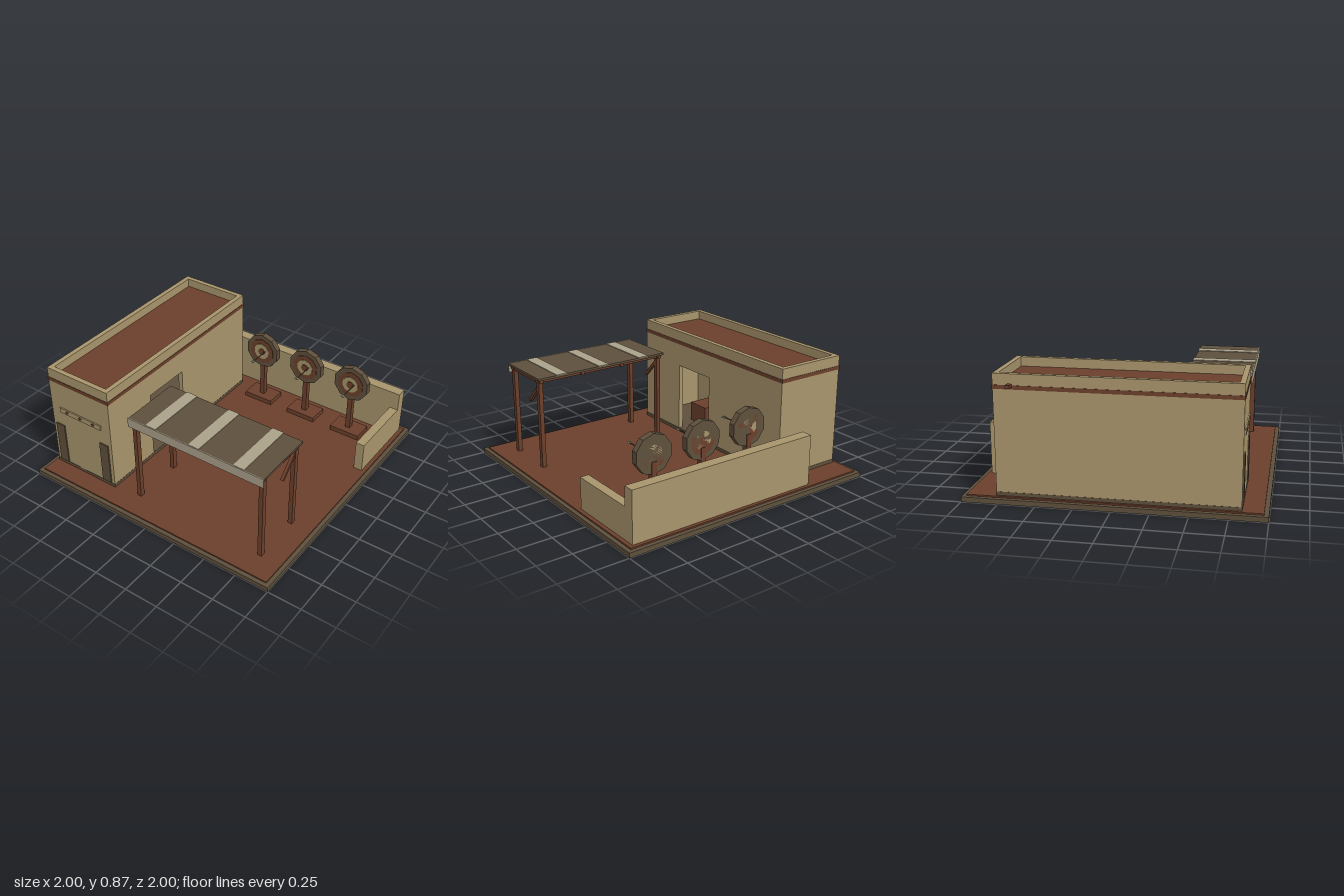
import * as THREE from 'three';

const mat = (name, color) => {
  const m = new THREE.MeshStandardMaterial({ color });
  m.name = name;
  return m;
};

export function createModel() {
  const sand = mat('sandstone', 0xa8956c);
  const rust = mat('rustClay', 0x6b3f2b);
  const dark = mat('darkWood', 0x5e4f3c);
  const pale = mat('paleCloth', 0xaba18a);

  const root = new THREE.Group();
  root.name = 'trainingYard';
  const group = (name, parent = root) => {
    const g = new THREE.Group();
    g.name = name;
    parent.add(g);
    return g;
  };
  const add = (parent, name, geo, m) => {
    const mesh = new THREE.Mesh(geo, m);
    mesh.name = name;
    parent.add(mesh);
    return mesh;
  };
  // Box given by its lower and upper limits on each axis
  const box = (parent, name, m, x0, x1, y0, y1, z0, z1) => {
    const mesh = add(parent, name, new THREE.BoxGeometry(x1 - x0, y1 - y0, z1 - z0), m);
    mesh.position.set((x0 + x1) / 2, (y0 + y1) / 2, (z0 + z1) / 2);
    return mesh;
  };

  // Ground
  const ground = group('ground');
  box(ground, 'baseSlab', dark, -1, 1, 0, 0.035, -1, 1);
  box(ground, 'yardFloor', rust, -0.97, 0.97, 0.035, 0.045, -0.97, 0.97);

  // Hollow building with an open doorway in its left side
  const house = group('building');
  const X0 = -0.95, X1 = -0.41, Z0 = -0.77, Z1 = 0.83, T = 0.036, H = 0.865, P = 0.07;
  box(house, 'plinth', dark, X0 - 0.002, X1 + 0.002, 0.045, P, Z0 - 0.002, Z1 + 0.002);
  box(house, 'frontWall', sand, X0, X1, P, H, Z1 - T, Z1);
  box(house, 'backWall', sand, X0, X1, P, H, Z0, Z0 + T);
  box(house, 'outerWall', sand, X0, X0 + T, P, H, Z0 + T, Z1 - T);
  const wall = new THREE.Shape([
    [Z0 + T, P], [0.02, P], [0.02, 0.59], [0.39, 0.59], [0.39, P],
    [Z1 - T, P], [Z1 - T, H], [Z0 + T, H],
  ].map(([z, y]) => new THREE.Vector2(z, y)));
  const wallGeo = new THREE.ExtrudeGeometry(wall, { depth: T, bevelEnabled: false });
  wallGeo.rotateY(-Math.PI / 2).translate(X1, 0, 0);
  add(house, 'doorwayWall', wallGeo, sand);
  box(house, 'bandAndCeiling', rust, X0 - 0.003, X1 + 0.003, 0.763, 0.79, Z0 - 0.003, Z1 + 0.003);
  box(house, 'roof', rust, X0 + T, X1 - T, 0.79, 0.8, Z0 + T, Z1 - T);
  box(house, 'drainSpout', rust, -1, X0, 0.78, 0.8, -0.67, -0.64);

  // Crates inside the room
  box(house, 'crate', rust, -0.79, -0.6, P, 0.22, 0.065, 0.25);
  box(house, 'crate', rust, -0.79, -0.6, P, 0.22, 0.3, 0.485);

  // Front shutters and sign with diamonds
  box(house, 'shutter', dark, -0.922, -0.845, 0.075, 0.405, Z1, Z1 + 0.009);
  box(house, 'shutter', dark, -0.515, -0.438, 0.075, 0.405, Z1, Z1 + 0.009);
  box(house, 'signBoard', sand, -0.867, -0.492, 0.52, 0.56, Z1, Z1 + 0.009);
  for (const x of [-0.8, -0.68, -0.56]) {
    const d = add(house, 'signDiamond', new THREE.BoxGeometry(0.022, 0.022, 0.006), rust);
    d.position.set(x, 0.54, Z1 + 0.011);
    d.rotation.z = Math.PI / 4;
  }

  // Yard walls
  const walls = group('yardWalls');
  box(walls, 'rearYardWall', sand, -0.535, 0.94, 0.045, 0.415, -0.945, -0.865);
  box(walls, 'sideYardWall', sand, 0.875, 0.94, 0.045, 0.275, -0.865, -0.34);

  // Ten-sided targets on stands, each with an arrow
  for (const x of [-0.163, 0.23, 0.623]) {
    const t = group('target');
    t.position.x = x;
    box(t, 'standFoot', rust, -0.12, 0.12, 0.045, 0.082, -0.79, -0.635);
    box(t, 'standPost', rust, -0.019, 0.019, 0.082, 0.44, -0.732, -0.69);
    const rings = [
      ['targetRim', dark, 0.141, -0.68],
      ['outerRing', rust, 0.104, -0.675],
      ['middleRing', sand, 0.066, -0.67],
      ['bullseye', rust, 0.029, -0.665],
    ];
    for (const [name, m, r, front] of rings) {
      const depth = front + 0.727;
      const geo = new THREE.CylinderGeometry(r, r, depth, 10).toNonIndexed();
      geo.computeVertexNormals();
      geo.rotateX(-Math.PI / 2);
      add(t, name, geo, m).position.set(0, 0.49, front - depth / 2);
    }
    box(t, 'arrowShaft', dark, 0.031, 0.037, 0.499, 0.505, -0.68, -0.49);
    box(t, 'arrowFletching', pale, 0.02, 0.048, 0.5, 0.504, -0.512, -0.49);
    box(t, 'arrowFletching', pale, 0.032, 0.036, 0.494, 0.51, -0.512, -0.49);
  }

  // Canopy
  const canopy = group('canopy');
  box(canopy, 'canopyTop', dark, -0.24, 0.835, 0.714, 0.73, 0.365, 0.82);
  box(canopy, 'frontValance', pale, -0.243, 0.836, 0.662, 0.732, 0.82, 0.826);
  for (const x of [-0.053, 0.297, 0.647]) {
    box(canopy, 'clothStripe', pale, x - 0.042, x + 0.042, 0.73, 0.735, 0.363, 0.82);
  }
  for (const z of [0.41, 0.783]) {
    box(canopy, 'longBeam', rust, -0.23, 0.825, 0.69, 0.714, z - 0.017, z + 0.017);
  }
  for (const x of [-0.21, 0.128, 0.466, 0.805]) {
    box(canopy, 'rafter', rust, x - 0.015, x + 0.015, 0.688, 0.714, 0.378, 0.815);
  }
  for (const x of [-0.21, 0.805]) {
    for (const z of [0.41, 0.783]) {
      box(canopy, 'canopyPost', rust, x - 0.016, x + 0.016, 0.045, 0.69, z - 0.018, z + 0.018);
    }
    const brace = add(canopy, 'brace', new THREE.BoxGeometry(0.022, 0.022, 0.2), rust);
    brace.position.set(x, 0.588, 0.485);
    brace.rotation.x = Math.PI / 4;
  }
  return root;
}
